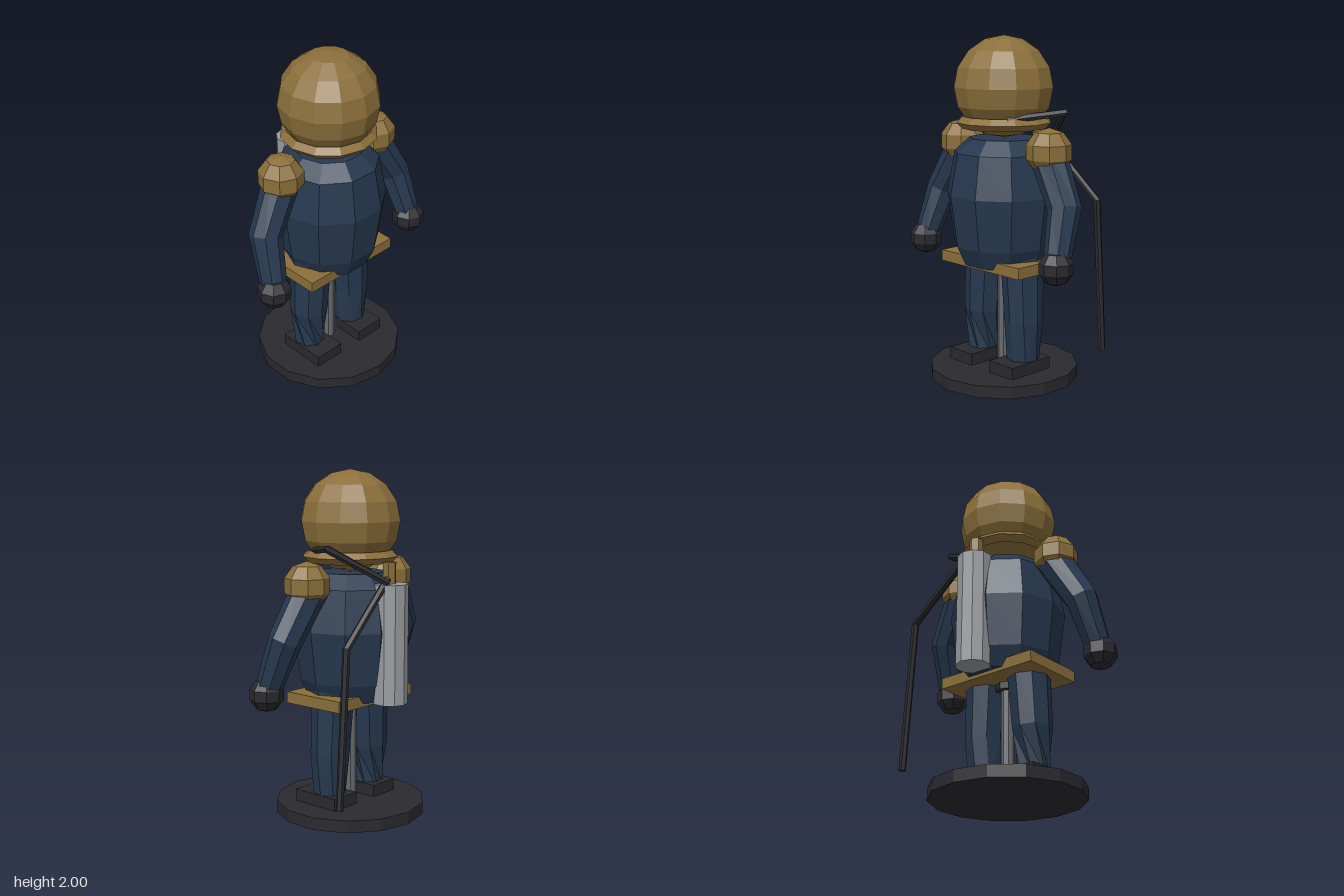
import * as THREE from 'three';

const mat = (color) => new THREE.MeshStandardMaterial({ color, flatShading: true });
const V = (x, y, z) => new THREE.Vector3(x, y, z);

// Faceted tube through the points, one radius (and optional twist) per point
function loft(points, radii, sides, ref, twist = []) {
  const pos = [], idx = [], n = points.length;
  points.forEach((p, i) => {
    const t = V(0, 0, 0);
    if (i > 0) t.add(p.clone().sub(points[i - 1]).normalize());
    if (i < n - 1) t.add(points[i + 1].clone().sub(p).normalize());
    t.normalize();
    const u = t.clone().cross(ref).normalize();
    const v = t.clone().cross(u);
    for (let j = 0; j < sides; j++) {
      const a = (j / sides) * Math.PI * 2 + (twist[i] || 0);
      const q = p.clone().addScaledVector(u, Math.cos(a) * radii[i]).addScaledVector(v, Math.sin(a) * radii[i]);
      pos.push(q.x, q.y, q.z);
    }
  });
  const start = n * sides, end = start + 1, last = (n - 1) * sides;
  pos.push(...points[0].toArray(), ...points[n - 1].toArray());
  for (let j = 0; j < sides; j++) {
    const k = (j + 1) % sides;
    for (let i = 0; i < n - 1; i++) {
      const a = i * sides, b = a + sides;
      idx.push(a + j, a + k, b + j, a + k, b + k, b + j);
    }
    idx.push(start, k, j, end, last + j, last + k);
  }
  const g = new THREE.BufferGeometry();
  g.setAttribute('position', new THREE.Float32BufferAttribute(pos, 3));
  g.setIndex(idx);
  g.computeVertexNormals();
  return g;
}

export function createModel() {
  const model = new THREE.Group();
  model.name = 'diverFigure';
  const brass = mat(0x8b6f3a), suit = mat(0x26384f), dark = mat(0x2a2a2f);
  const steel = mat(0x999ca0), rod = mat(0x66696d);
  const add = (name, geometry, material, x = 0, y = 0, z = 0) => {
    const m = new THREE.Mesh(geometry, material);
    m.name = name;
    m.position.set(x, y, z);
    model.add(m);
    return m;
  };
  const zAxis = V(0, 0, 1), yAxis = V(0, 1, 0);

  // Stand
  add('standBase', new THREE.CylinderGeometry(0.44, 0.44, 0.07, 14), dark, 0, 0.035, 0);
  add('standPole', new THREE.CylinderGeometry(0.038, 0.038, 0.6, 8), rod, 0, 0.36, 0);
  add('standSocket', new THREE.CylinderGeometry(0.07, 0.07, 0.08, 8), dark, 0, 0.67, 0);

  // Torso and belt
  const profile = [[0, 0.69], [0.245, 0.69], [0.295, 0.8], [0.335, 1.1], [0.29, 1.34], [0.2, 1.42], [0, 1.42]];
  add('torso', new THREE.LatheGeometry(profile.map(([r, y]) => new THREE.Vector2(r, y)), 10, Math.PI / 10), suit);
  add('belt', new THREE.BoxGeometry(0.65, 0.065, 0.4), brass, 0, 0.702, 0);

  // Helmet and collar ring
  add('helmet', new THREE.SphereGeometry(0.29, 12, 8), brass, 0, 1.71, 0);
  add('collar', new THREE.TorusGeometry(0.242, 0.035, 4, 12).rotateX(Math.PI / 2), brass, 0, 1.51, 0);

  // Paired limbs
  for (const [side, s] of [['left', 1], ['right', -1]]) {
    add(side + 'Shoulder', new THREE.SphereGeometry(0.133, 8, 5), brass, s * 0.36, 1.37, 0);
    add(side + 'Arm', loft(
      [V(s * 0.34, 1.36, -0.01), V(s * 0.51, 1.07, 0.03), V(s * 0.545, 0.8, 0.125)],
      [0.105, 0.095, 0.075], 8, zAxis), suit);
    add(side + 'Glove', new THREE.SphereGeometry(0.1, 8, 5), dark, s * 0.55, 0.768, 0.135);
    add(side + 'Leg', loft(
      [V(s * 0.15, 0.76, 0), V(s * 0.172, 0.37, 0.005), V(s * 0.172, 0.1, 0.01)],
      [0.125, 0.113, 0.093], 8, zAxis, [0, 0, s * 0.6]), suit);
    add(side + 'Boot', new THREE.BoxGeometry(0.19, 0.075, 0.305), dark, s * 0.173, 0.102, 0.037);
  }

  // Air tank on the back
  add('airTank', new THREE.CylinderGeometry(0.1, 0.1, 0.68, 10), steel, 0, 1.03, -0.3);
  add('tankValve', new THREE.CylinderGeometry(0.04, 0.04, 0.12, 6), brass, 0, 1.43, -0.29);

  // Hoses from the valve to the helmet and down to the side
  add('helmetHose', loft(
    [V(0.06, 1.38, -0.33), V(0.345, 1.575, -0.135), V(0.17, 1.54, 0.14)],
    [0.022, 0.022, 0.022], 6, yAxis), dark);
  add('hangingHose', loft(
    [V(0.04, 1.4, -0.31), V(0.42, 1.06, -0.34), V(0.477, 0.18, -0.34)],
    [0.021, 0.022, 0.021], 6, zAxis), dark);

  return model;
}
